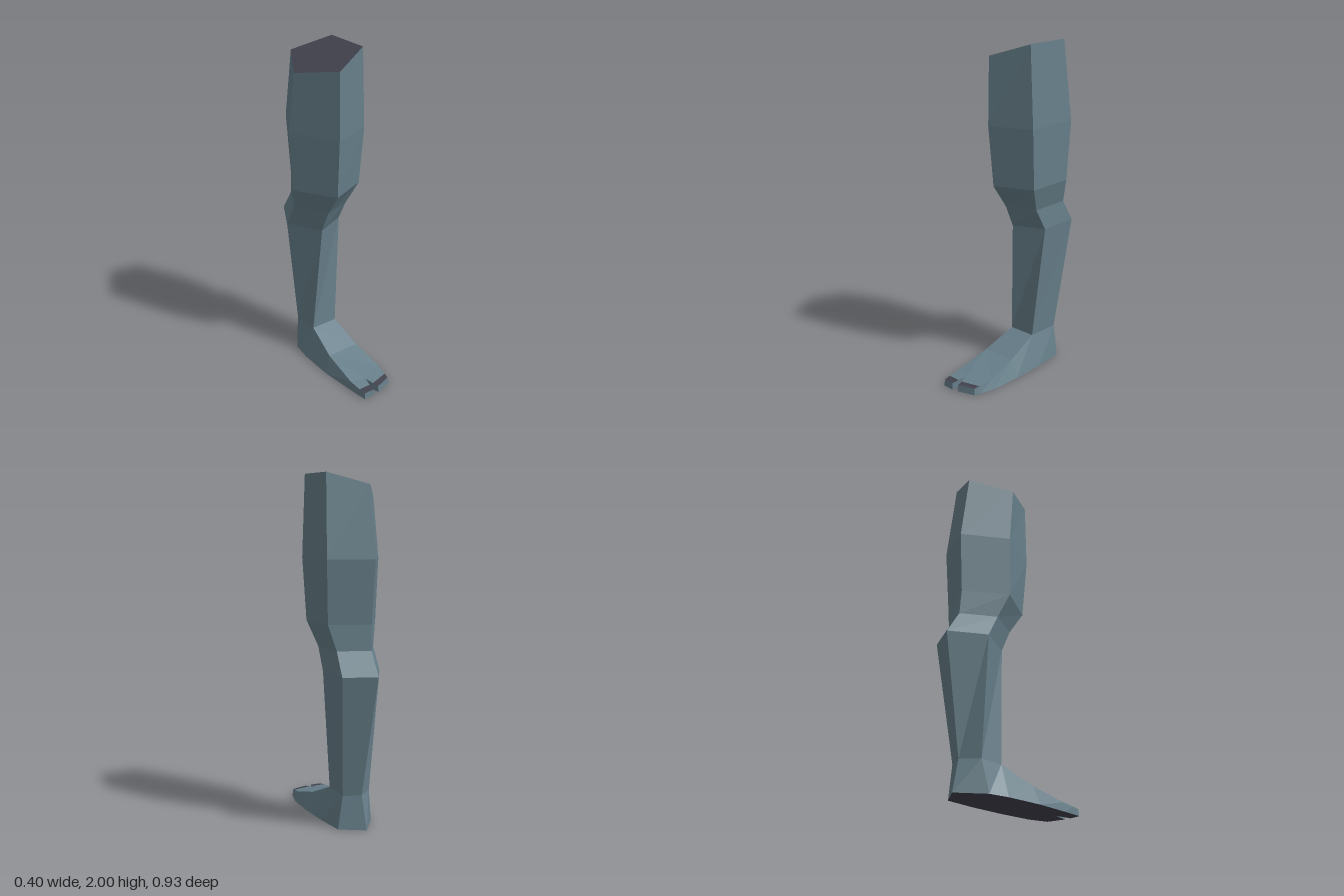
import * as THREE from 'three';

const skin = new THREE.MeshStandardMaterial({ color: 0x677f8a, flatShading: true });
skin.name = 'blue grey skin';
const dark = new THREE.MeshStandardMaterial({ color: 0x42424e, flatShading: true });
dark.name = 'dark slate';

// Flat-shaded mesh from polygons, each a list of points counter-clockwise from outside
function polyMesh(name, polys, material) {
  const pos = [];
  for (const p of polys) {
    for (let i = 1; i < p.length - 1; i++) pos.push(...p[0], ...p[i], ...p[i + 1]);
  }
  const geo = new THREE.BufferGeometry();
  geo.setAttribute('position', new THREE.Float32BufferAttribute(pos, 3));
  geo.computeVertexNormals();
  const mesh = new THREE.Mesh(geo, material);
  mesh.name = name;
  return mesh;
}

// Outward walls between two loops ordered back, left, front, right
function walls(low, up) {
  return up.map((p, i) => {
    const j = (i + 1) % up.length;
    return [low[j], low[i], p, up[j]];
  });
}

export function createModel() {
  const leg = new THREE.Group();
  leg.name = 'leg';

  // Five-sided rings: back, back left, front left, front, right
  const top = [[-0.045, 1.935, -0.335], [0.18, 2, -0.25], [0.18, 2, 0.035], [-0.045, 1.925, 0.125], [-0.185, 1.885, -0.105]];
  const ring = (y, pts) => pts.map(([x, z]) => [x, y, z]);
  const thigh = ring(1.53, [[-0.05, -0.395], [0.2, -0.302], [0.2, 0.032], [-0.05, 0.13], [-0.2, -0.145]]);
  const lowThigh = ring(1.17, [[-0.04, -0.37], [0.187, -0.285], [0.187, 0.005], [-0.04, 0.1], [-0.187, -0.135]]);
  const knee = ring(1.025, [[-0.035, -0.38], [0.145, -0.31], [0.145, -0.065], [-0.035, 0.0], [-0.145, -0.19]]);
  const calf = ring(0.89, [[-0.035, -0.465], [0.15, -0.39], [0.15, -0.14], [-0.035, -0.06], [-0.15, -0.26]]);
  const ankle = ring(0.193, [[0, -0.335], [0.1, -0.295], [0.09, -0.1], [-0.078, -0.1], [-0.09, -0.25]]);

  leg.add(
    polyMesh('thigh', [...walls(thigh, top), ...walls(lowThigh, thigh)], skin),
    polyMesh('knee', [...walls(knee, lowThigh), ...walls(calf, knee)], skin),
    polyMesh('shin', walls(ankle, calf), skin),
    polyMesh('hipCap', [[...top].reverse()], dark),
  );

  // Foot outline: upper edge
  const [heel, heelL, frontL, frontR, heelR] = ankle;
  const L1 = [0.105, 0.108, 0.105], L2 = [0.12, 0.058, 0.3];
  const R1 = [-0.105, 0.108, 0.105], R2 = [-0.115, 0.055, 0.33];
  const notch = [-0.024, 0.052, 0.365];
  const bigNail = [[0.107, 0.045, 0.385], [0.1, 0.04, 0.42], [0, 0.04, 0.453], [-0.009, 0.045, 0.415]];
  const smallNail = [[-0.035, 0.045, 0.415], [-0.04, 0.04, 0.46], [-0.105, 0.04, 0.46], [-0.112, 0.045, 0.415]];
  const upper = [heel, heelL, frontL, L1, L2, ...bigNail, notch, ...smallNail, R2, R1, frontR, heelR];

  // Matching outline on the ground
  const sole = [
    [-0.01, -0.38], [0.13, -0.295], [0.147, -0.1], [0.15, 0.105], [0.14, 0.3],
    [0.117, 0.385], [0.105, 0.423], [0, 0.457], [-0.009, 0.415], [-0.024, 0.365],
    [-0.035, 0.415], [-0.04, 0.463], [-0.108, 0.463], [-0.114, 0.415],
    [-0.123, 0.33], [-0.142, 0.125], [-0.138, -0.1], [-0.12, -0.22],
  ];

  leg.add(
    polyMesh('footSides', walls(ring(0, sole), upper), skin),
    polyMesh('footTop', [
      [frontR, R1, L1, frontL],
      [R1, R2, notch, L2, L1],
      [R2, smallNail[3], smallNail[0], notch],
      [notch, bigNail[3], bigNail[0], L2],
    ], skin),
    polyMesh('bigToenail', [[...bigNail].reverse()], dark),
    polyMesh('smallToenail', [[...smallNail].reverse()], dark),
  );

  // Sole faces down
  const soleShape = new THREE.Shape(sole.map(([x, z]) => new THREE.Vector2(x, z)));
  const soleMesh = new THREE.Mesh(new THREE.ShapeGeometry(soleShape).rotateX(Math.PI / 2), dark);
  soleMesh.name = 'sole';
  leg.add(soleMesh);

  return leg;
}
